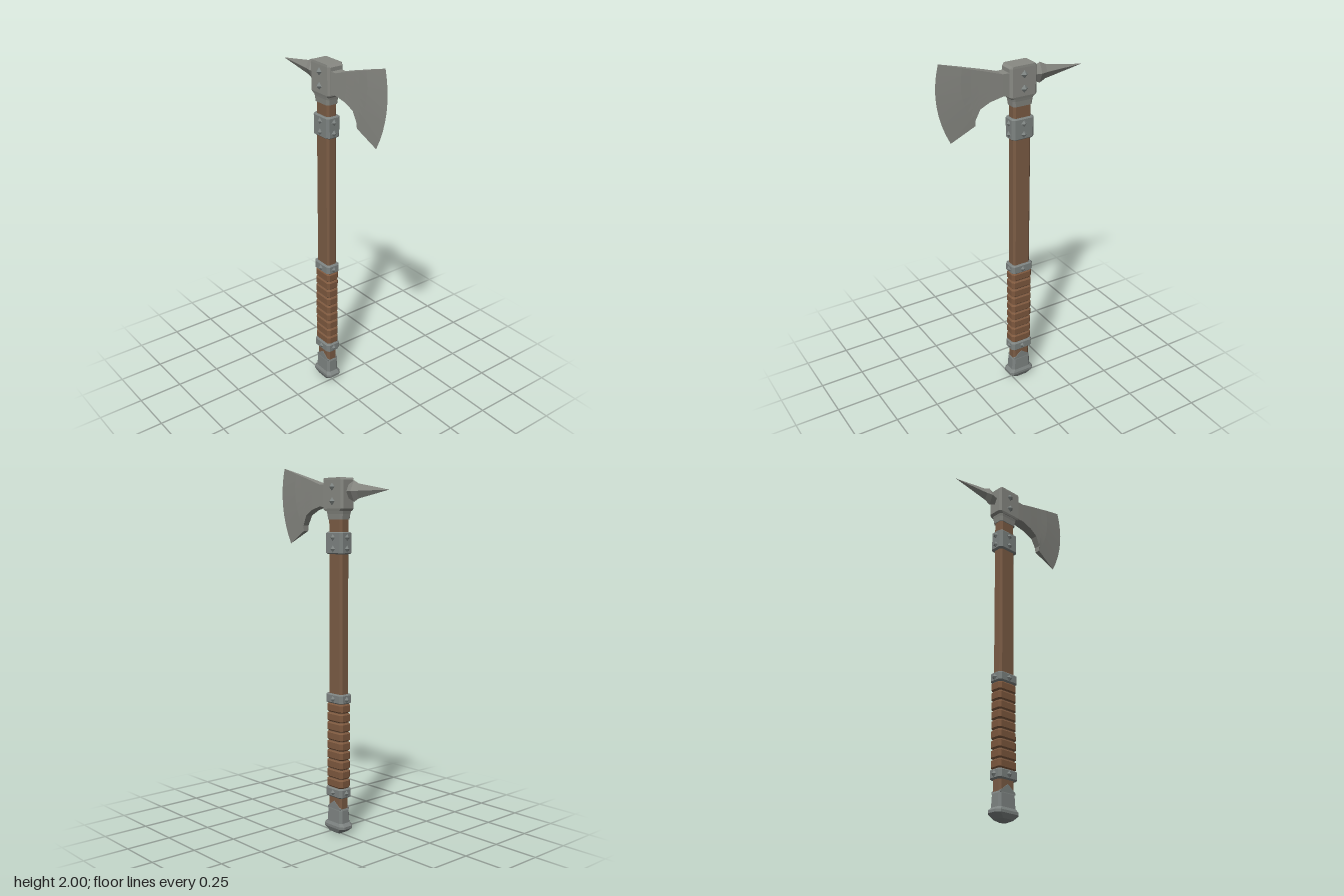
import * as THREE from 'three';

const AXIS = -0.048; // x of the shaft centre line

const flat = (hex, name, side = THREE.FrontSide) => {
  const m = new THREE.MeshStandardMaterial({ color: hex, flatShading: true, side });
  m.name = name;
  return m;
};

// Geometry from a list of triangles, each corner an [x, y, z]
function fromTriangles(tris) {
  const g = new THREE.BufferGeometry();
  g.setAttribute('position', new THREE.Float32BufferAttribute(tris.flat(2), 3));
  g.computeVertexNormals();
  return g;
}

// Stack of chamfered rectangles; each section is [y, halfX, halfZ, chamfer]
function chamferedLoft(sections) {
  const rings = sections.map(([y, x, z, c]) => [
    [x, y, z - c], [x, y, c - z], [x - c, y, -z], [c - x, y, -z],
    [-x, y, c - z], [-x, y, z - c], [c - x, y, z], [x - c, y, z],
  ]);
  const tris = [];
  for (let k = 0; k < rings.length - 1; k++) {
    const lo = rings[k], hi = rings[k + 1];
    for (let i = 0; i < 8; i++) {
      const j = (i + 1) % 8;
      tris.push([lo[i], lo[j], hi[j]], [lo[i], hi[j], hi[i]]);
    }
  }
  const top = rings[rings.length - 1], bottom = rings[0];
  for (let i = 1; i < 7; i++) {
    tris.push([top[0], top[i], top[i + 1]], [bottom[0], bottom[i + 1], bottom[i]]);
  }
  return fromTriangles(tris);
}

// Bar with bevelled upper and lower rims
const bevelled = (y0, y1, x, z, c, b) => chamferedLoft([
  [y0, x - b, z - b, c], [y0 + b, x, z, c], [y1 - b, x, z, c], [y1, x - b, z - b, c],
]);

// Wedge blade: columns [topX, topY, bottomX, bottomY, bow, halfThickness]
function bladeGeometry() {
  const columns = [
    [0.02, 1.90, 0.02, 1.78, 0, 0.034],
    [0.07, 1.90, 0.07, 1.785, 0, 0.031],
    [0.14, 1.922, 0.14, 1.768, 0, 0.026],
    [0.20, 1.94, 0.193, 1.74, 0.004, 0.021],
    [0.235, 1.95, 0.22, 1.685, 0.012, 0.018],
    [0.285, 1.965, 0.22, 1.655, 0.035, 0.015],
    [0.405, 2.0, 0.352, 1.585, 0.043, 0],
  ];
  const rows = 8;
  const point = (k, r, s) => {
    const [tx, ty, bx, by, bow, z] = columns[k], t = r / rows;
    return [tx + (bx - tx) * t + bow * 4 * t * (1 - t), ty + (by - ty) * t, s * z];
  };
  const tris = [];
  const quad = (a, b, c, d) => tris.push([a, b, c], [a, c, d]);
  for (let k = 0; k < columns.length - 1; k++) {
    for (let r = 0; r < rows; r++) {
      quad(point(k, r, 1), point(k, r + 1, 1), point(k + 1, r + 1, 1), point(k + 1, r, 1));
      quad(point(k, r, -1), point(k + 1, r, -1), point(k + 1, r + 1, -1), point(k, r + 1, -1));
    }
    quad(point(k, 0, 1), point(k + 1, 0, 1), point(k + 1, 0, -1), point(k, 0, -1));
    quad(point(k, rows, 1), point(k, rows, -1), point(k + 1, rows, -1), point(k + 1, rows, 1));
  }
  return fromTriangles(tris);
}

export function createModel() {
  const root = new THREE.Group();
  root.name = 'axe';
  const steel = flat(0x888983, 'steel');
  const iron = flat(0x7d8381, 'iron');
  const wood = flat(0x7b5c45, 'wood');
  const leather = flat(0x7d583e, 'leather');

  const add = (name, geometry, material, x = AXIS, y = 0, z = 0) => {
    const m = new THREE.Mesh(geometry, material);
    m.name = name;
    m.position.set(x, y, z);
    root.add(m);
    return m;
  };

  // Wooden shaft
  add('shaft', chamferedLoft([[0.1, 0.052, 0.031, 0.011], [1.78, 0.052, 0.031, 0.011]]), wood);

  // Wrapped grip
  const rings = 9, gripLow = 0.262, pitch = (0.733 - gripLow) / rings;
  for (let i = 0; i < rings; i++) {
    const y = gripLow + i * pitch;
    add('gripWrap', bevelled(y + 0.002, y + pitch - 0.002, 0.063, 0.038, 0.013, 0.007), leather);
  }

  // Pyramid studs
  const studGeometry = new THREE.OctahedronGeometry(1);
  const stud = (x, y, z, sx, sy, sz, material) =>
    add('stud', studGeometry, material, AXIS + x, y, z).scale.set(sx, sy, sz);

  // Collars with studs on all four sides
  const collars = [
    [0.21, 0.262, [0.236]],
    [0.733, 0.785, [0.757]],
    [1.535, 1.652, [1.563, 1.622]],
  ];
  for (const [y0, y1, studs] of collars) {
    add('collar', bevelled(y0, y1, 0.066, 0.043, 0.014, 0.006), iron);
    for (const y of studs) {
      for (const s of [-1, 1]) {
        stud(0, y, s * 0.043, 0.018, 0.018, 0.012, iron);
        stud(s * 0.066, y, 0, 0.012, 0.018, 0.018, iron);
      }
    }
  }

  // Pommel with a flared foot
  add('pommel', chamferedLoft([
    [0, 0.02, 0.015, 0.008], [0.012, 0.045, 0.035, 0.012], [0.038, 0.078, 0.046, 0.018],
    [0.052, 0.078, 0.046, 0.018], [0.068, 0.06, 0.038, 0.013], [0.138, 0.056, 0.035, 0.012],
    [0.148, 0.052, 0.033, 0.011],
  ]), iron);
  const peak = new THREE.Shape([
    new THREE.Vector2(-0.05, 0.14), new THREE.Vector2(0.05, 0.14),
    new THREE.Vector2(0.05, 0.15), new THREE.Vector2(0, 0.188), new THREE.Vector2(-0.05, 0.15),
  ]);
  const peakGeometry = new THREE.ExtrudeGeometry(peak, { depth: 0.068, bevelEnabled: false });
  add('pommelPeak', peakGeometry, iron, AXIS, 0, -0.034);

  // Head socket and its lower neck
  add('headSocket', chamferedLoft([
    [1.76, 0.067, 0.044, 0.01], [1.772, 0.079, 0.047, 0.012],
    [1.92, 0.079, 0.047, 0.012], [1.932, 0.067, 0.046, 0.004],
  ]), steel, -0.045);
  add('headNeck', chamferedLoft([
    [1.715, 0.056, 0.035, 0.011], [1.745, 0.06, 0.038, 0.012], [1.765, 0.064, 0.042, 0.012],
  ]), steel);
  for (const y of [1.81, 1.885]) {
    for (const s of [-1, 1]) stud(0.002, y, s * 0.047, 0.021, 0.021, 0.016, iron);
  }

  // Blade
  add('blade', bladeGeometry(), steel, 0);

  // Rear spike: four-sided, flattened
  const profile = [[0, -0.05], [0.036, 0], [0.036, 0.015], [0.055, 0.055], [0.038, 0.09], [0, 0.31]]
    .map(([r, h]) => new THREE.Vector2(r, h));
  const spike = add('spike', new THREE.LatheGeometry(profile, 4), steel, -0.11, 1.86);
  spike.rotation.z = Math.PI / 2;
  spike.scale.z = 0.48;

  return root;
}
